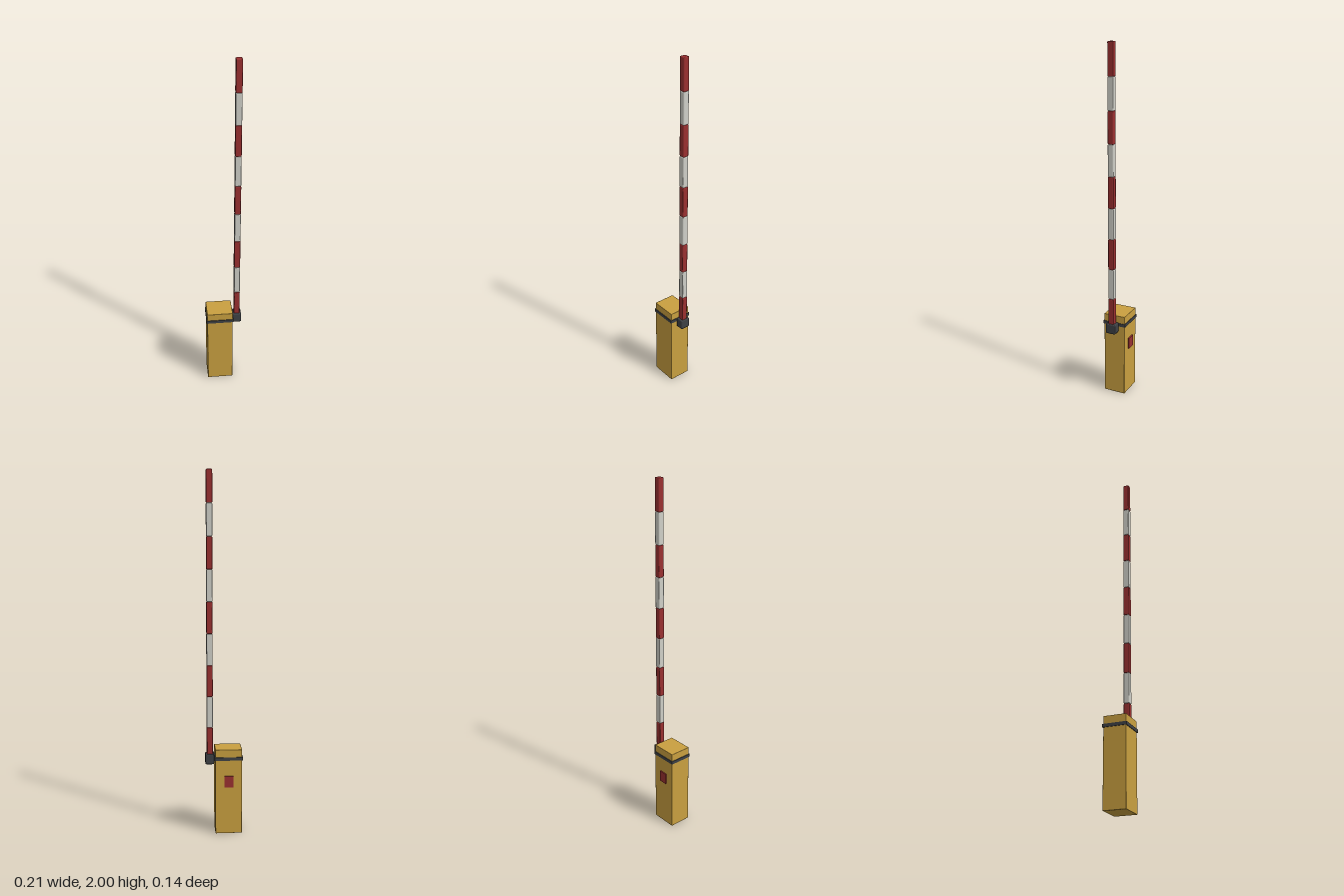
import * as THREE from 'three';
import { RoundedBoxGeometry } from 'three/addons/geometries/RoundedBoxGeometry.js';

const paint = (color) => new THREE.MeshStandardMaterial({ color });

export function createModel() {
  const group = new THREE.Group();
  const yellow = paint(0xc9a040);
  const red = paint(0x9a3030);
  const white = paint(0xd0d0c8);
  const dark = paint(0x3e4145);

  const add = (name, geometry, material, x, y, z) => {
    const mesh = new THREE.Mesh(geometry, material);
    mesh.name = name;
    mesh.position.set(x, y, z);
    group.add(mesh);
    return mesh;
  };
  const bevelled = (w, h, d, r) => new RoundedBoxGeometry(w, h, d, 1, r);

  // Cabinet with its dark trim band
  const cabinetX = -0.025, midZ = 0.001;
  add('cabinet', bevelled(0.148, 0.485, 0.126, 0.002), yellow, cabinetX, 0.2425, midZ);
  add('trimBand', new THREE.BoxGeometry(0.156, 0.018, 0.134), dark, cabinetX, 0.433, midZ);

  // Small red plate on the back
  add('backPlate', new THREE.BoxGeometry(0.05, 0.065, 0.01), red, cabinetX, 0.302, -0.0635);

  // Pivot block and the axle joining it to the cabinet
  const armX = 0.077, pivotY = 0.421;
  add('pivotBlock', bevelled(0.049, 0.058, 0.058, 0.006), dark, 0.0778, pivotY, midZ);
  const axle = add('axle', new THREE.CylinderGeometry(0.015, 0.015, 0.03, 16), dark, 0.05, pivotY, midZ);
  axle.rotation.z = Math.PI / 2;

  // Raised boom of alternating red and white segments
  const count = 9, length = 0.175;
  const segment = bevelled(0.034, length, 0.034, 0.005);
  for (let i = 0; i < count; i++) {
    const y = 2 - (count - i - 0.5) * length;
    add(`boomSegment${i + 1}`, segment, i % 2 ? white : red, armX, y, midZ);
  }
  return group;
}
